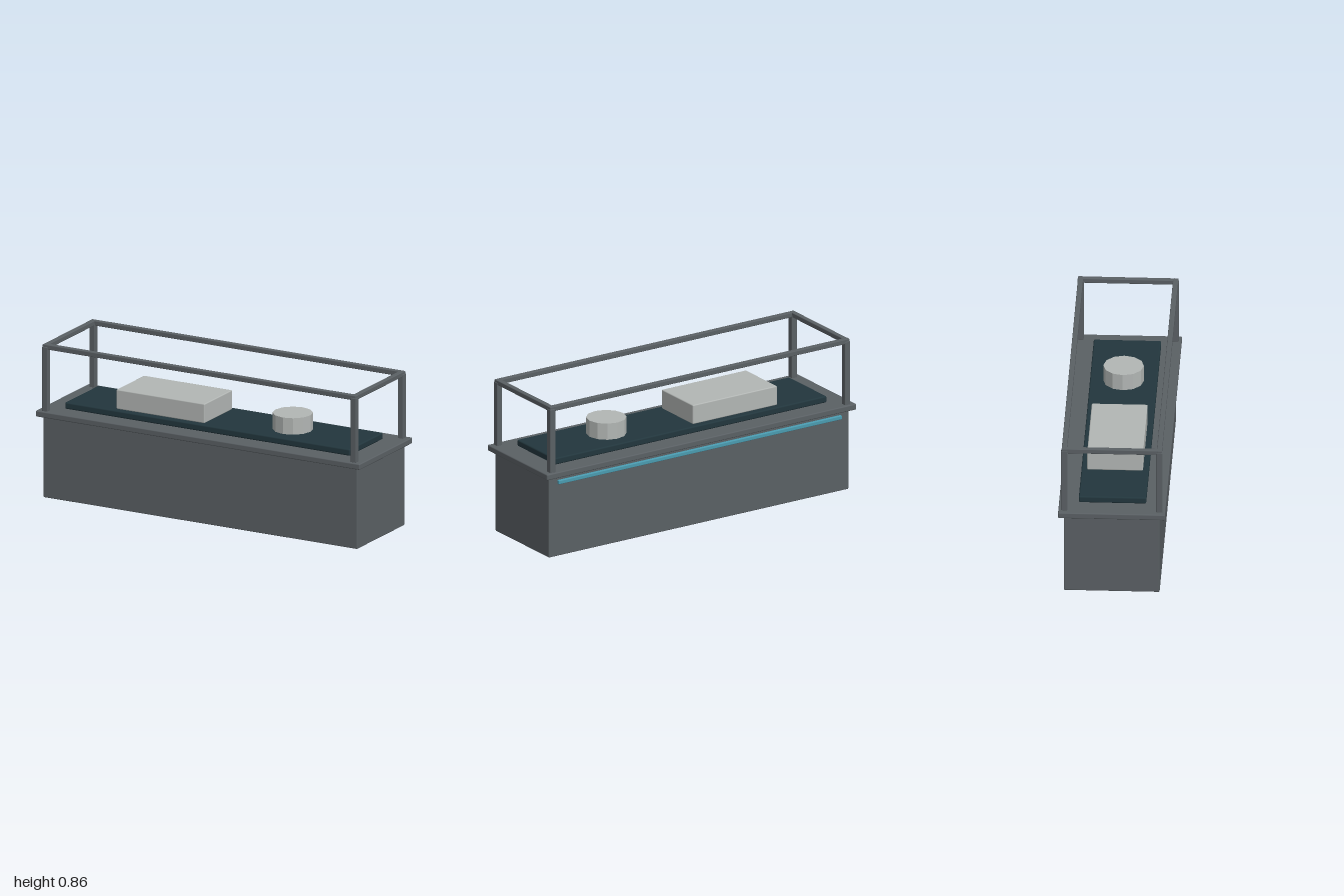
import * as THREE from 'three';
import { RoundedBoxGeometry } from 'three/addons/geometries/RoundedBoxGeometry.js';

export function createModel() {
  const model = new THREE.Group();
  model.name = 'frameTopCounter';

  const material = (name, color, flatShading = false) => {
    const m = new THREE.MeshStandardMaterial({ color, flatShading });
    m.name = name;
    return m;
  };
  const grey = material('slate grey', 0x5a6064);
  const dark = material('dark teal', 0x22363d);
  const pale = material('pale grey', 0xb2b6b4);
  const blue = material('strip blue', 0x4a9bb0);

  // Softly bevelled box given by its width, bottom, top, depth and centre
  const box = (name, mat, w, y0, y1, d, x = 0, z = 0, bevel = 0.005, parent = model) => {
    const mesh = new THREE.Mesh(new RoundedBoxGeometry(w, y1 - y0, d, 2, bevel), mat);
    mesh.position.set(x, (y0 + y1) / 2, z);
    mesh.name = name;
    parent.add(mesh);
    return mesh;
  };

  // Counter body, overhanging top and dark work mat
  box('body', grey, 1.937, 0, 0.458, 0.514);
  box('counterTop', grey, 2, 0.455, 0.488, 0.574, 0, 0, 0.006);
  box('mat', dark, 1.758, 0.488, 0.525, 0.362, 0, 0, 0.008);

  // Goods resting on the mat
  box('block', pale, 0.545, 0.525, 0.634, 0.3, -0.307, 0, 0.006);
  const drum = new THREE.Mesh(
    new THREE.CylinderGeometry(0.109, 0.109, 0.092, 12).toNonIndexed(), pale);
  drum.geometry.computeVertexNormals();
  drum.position.set(0.425, 0.571, 0);
  drum.name = 'drum';
  model.add(drum);

  // Open frame: four posts joined by four top rails
  const frame = new THREE.Group();
  frame.name = 'frame';
  model.add(frame);
  const px = 0.952, pz = 0.255, t = 0.034;
  for (const s of [-1, 1]) {
    for (const e of [-1, 1]) box('post', grey, t, 0.485, 0.848, t, s * px, e * pz, 0.004, frame);
    box('longRail', grey, 2 * px + 0.03, 0.834, 0.861, 0.028, 0, s * pz, 0.004, frame);
    box('endRail', grey, 0.028, 0.834, 0.861, 2 * pz + 0.028, s * px, 0, 0.004, frame);
  }

  // Coloured strip along the back, below the overhang
  box('backStrip', blue, 1.83, 0.412, 0.434, 0.018, 0, -0.265, 0.004);

  return model;
}
